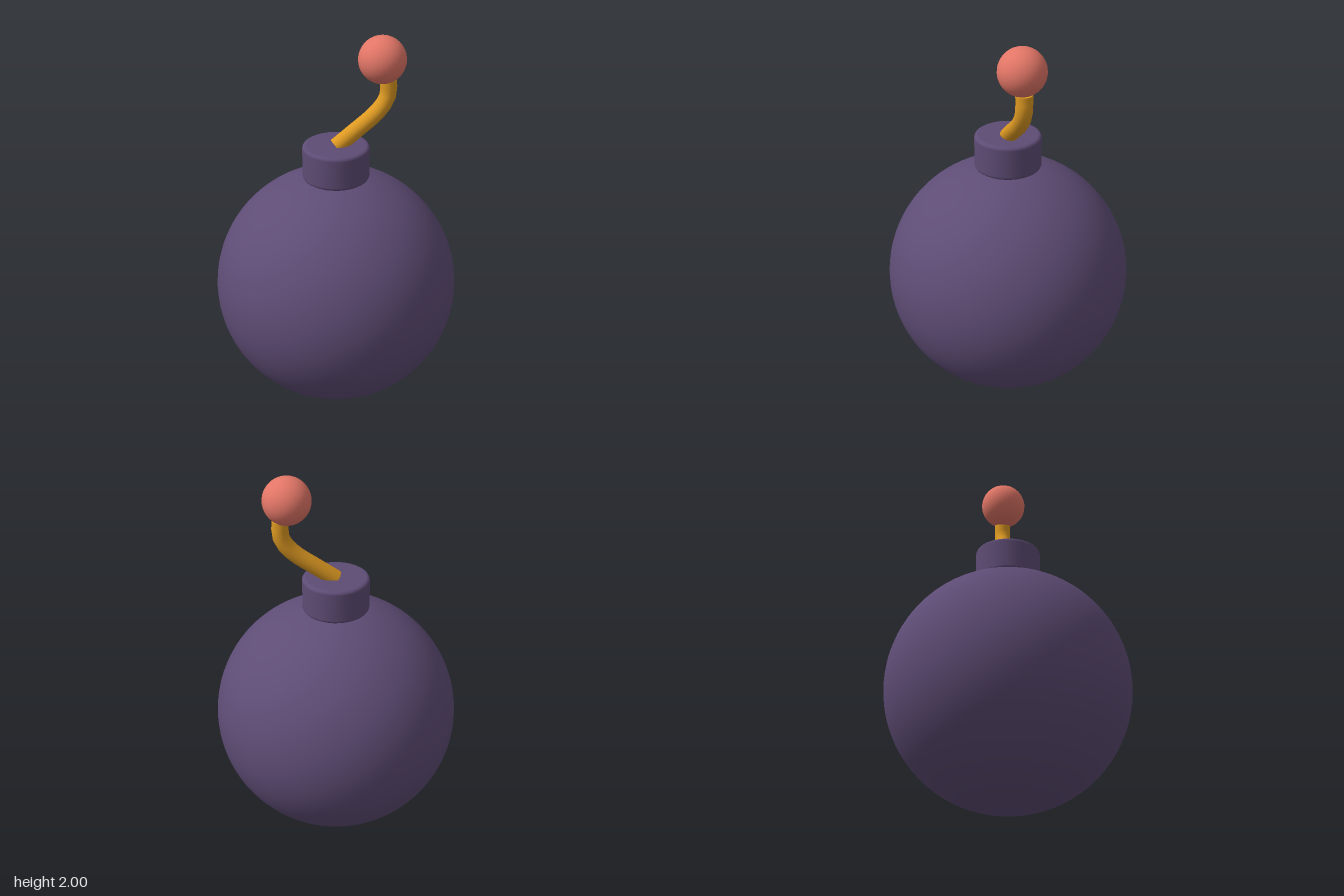
import * as THREE from 'three';

export function createModel() {
  const group = new THREE.Group();
  const purple = new THREE.MeshStandardMaterial({ name: 'dark purple', color: 0x5e4c75 });
  const gold = new THREE.MeshStandardMaterial({ name: 'golden yellow', color: 0xdd9922 });
  const coral = new THREE.MeshStandardMaterial({ name: 'coral red', color: 0xe27667 });

  function add(name, geometry, material, x = 0, y = 0, z = 0) {
    const mesh = new THREE.Mesh(geometry, material);
    mesh.name = name;
    mesh.position.set(x, y, z);
    group.add(mesh);
    return mesh;
  }

  // Round body
  add('body', new THREE.SphereGeometry(0.638, 64, 48), purple, 0, 0.638, 0);

  // Short collar with softly rounded rims
  const radius = 0.173, bottom = 1.263, top = 1.445, bevel = 0.018;
  const profile = [new THREE.Vector2(0, bottom), new THREE.Vector2(radius - bevel - 0.004, bottom)];
  for (const [cy, start] of [[bottom + bevel, -Math.PI / 2], [top - bevel, 0]]) {
    for (let i = 0; i <= 4; i++) {
      const a = start + (i / 4) * Math.PI / 2;
      profile.push(new THREE.Vector2(radius - bevel + Math.cos(a) * bevel, cy + Math.sin(a) * bevel));
    }
  }
  profile.push(new THREE.Vector2(radius - bevel - 0.004, top), new THREE.Vector2(0, top));
  add('collar', new THREE.LatheGeometry(profile, 32), purple);

  // Bent fuse, closed at both ends
  const path = new THREE.CatmullRomCurve3([
    [0, 1.435], [0.11, 1.515], [0.195, 1.578], [0.25, 1.635], [0.276, 1.69], [0.276, 1.773],
  ].map(([x, y]) => new THREE.Vector3(x, y, 0)));
  const fuseRadius = 0.043;
  add('fuse', new THREE.TubeGeometry(path, 10, fuseRadius, 20, false), gold);
  for (const t of [0, 1]) {
    const p = path.getPointAt(t);
    const outward = path.getTangentAt(t).multiplyScalar(t ? 1 : -1);
    const cap = add('fuseEnd', new THREE.CircleGeometry(fuseRadius, 20), gold, p.x, p.y, p.z);
    cap.quaternion.setFromUnitVectors(new THREE.Vector3(0, 0, 1), outward);
  }

  // Glowing ball at the tip of the fuse
  add('spark', new THREE.SphereGeometry(0.122, 32, 24), coral, 0.242, 1.878, 0);

  return group;
}
